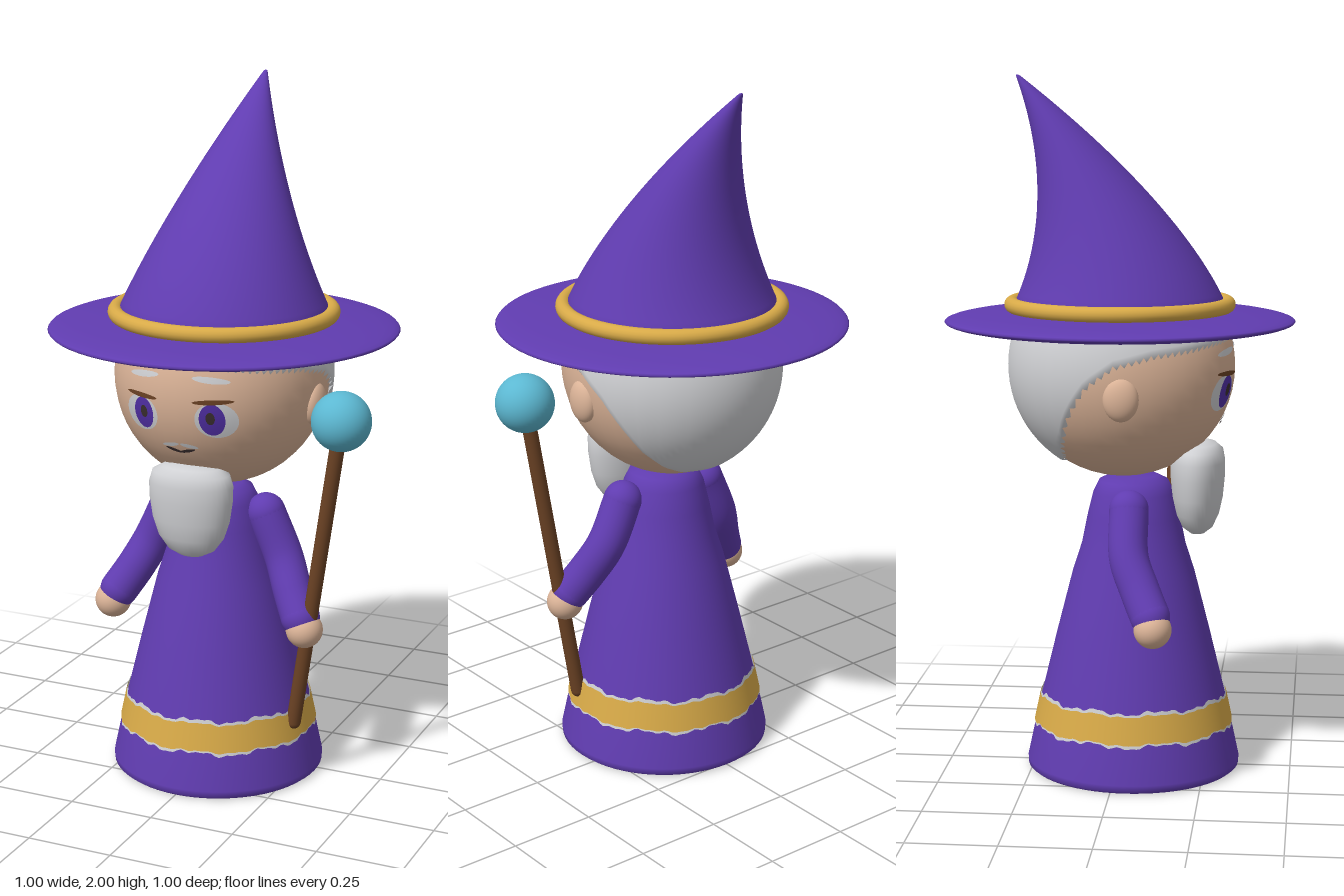
import * as THREE from 'three';
import { mergeVertices } from 'three/addons/utils/BufferGeometryUtils.js';

const material = (name, color) => {
  const m = new THREE.MeshStandardMaterial({ color });
  m.name = name;
  return m;
};
const purple = material('purple cloth', 0x603cb0);
const gold = material('gold trim', 0xd8aa48);
const skin = material('skin', 0xdcb498);
const grey = material('grey hair', 0xd0d1d4);
const wood = material('brown wood', 0x6b4224);
const blue = material('blue orb', 0x5cb8d2);
const iris = material('violet iris', 0x5230a8);
const dark = material('dark line', 0x3b2f30);
for (const m of [grey, gold]) m.side = THREE.DoubleSide;

const HEAD = { y: 1.18, z: 0.01, rx: 0.305, ry: 0.32, rz: 0.32 };
const ROBE_Z = 0.04;
const points = (list) => list.map(([x, y]) => new THREE.Vector2(x, y));

// Moves every vertex by a rule and rebuilds smooth, seamless normals
function reshape(geometry, rule) {
  const p = geometry.attributes.position, uv = geometry.attributes.uv, v = new THREE.Vector3();
  for (let i = 0; i < p.count; i++) {
    v.fromBufferAttribute(p, i);
    rule(v, uv.getX(i), uv.getY(i));
    p.setXYZ(i, v.x, v.y, v.z);
  }
  geometry.deleteAttribute('uv');
  geometry.deleteAttribute('normal');
  const merged = mergeVertices(geometry, 1e-5);
  merged.computeVertexNormals();
  return merged;
}

// Linear lookup in a short list of [input, output] pairs
function lookup(table, t) {
  for (let i = 1; i < table.length; i++) {
    const [a, va] = table[i - 1], [b, vb] = table[i];
    if (t <= b) return va + (vb - va) * (t - a) / (b - a);
  }
  return table[table.length - 1][1];
}

export function createModel() {
  const model = new THREE.Group();
  model.name = 'wizard';
  const add = (name, geometry, mat, x = 0, y = 0, z = 0) => {
    const mesh = new THREE.Mesh(geometry, mat);
    mesh.name = name;
    mesh.position.set(x, y, z);
    model.add(mesh);
    return mesh;
  };
  const ball = (name, mat, r, x, y, z, sx = 1, sy = 1, sz = 1) =>
    add(name, new THREE.SphereGeometry(r, 40, 28), mat, x, y, z).scale.set(sx, sy, sz);

  // Robe with a rounded hem and sloping neck
  const robe = [[0.298, 0], [0.308, 0.008], [0.309, 0.025], [0.278, 0.17], [0.222, 0.4],
    [0.176, 0.58], [0.15, 0.66], [0.134, 0.74], [0.117, 0.81], [0.1, 0.845], [0.07, 0.86], [0, 0.862]];
  add('robe', new THREE.LatheGeometry(points(robe), 64), purple, 0, 0, ROBE_Z);
  const base = add('robeBase', new THREE.CircleGeometry(0.298, 64), purple, 0, 0, ROBE_Z);
  base.rotation.x = Math.PI / 2;

  // Uneven hem bands: pale fringe behind the gold trim
  const hemRadius = (y) => 0.309 - (y - 0.025) * 0.214;
  const band = (name, mat, low, high, lift, wave) => {
    const g = new THREE.CylinderGeometry(1, 1, 1, 160, 1, true);
    add(name, reshape(g, (v, u, t) => {
      const a = u * Math.PI * 2;
      const ragged = wave * (Math.sin(a * 9) + 0.6 * Math.sin(a * 23 + 1) + 0.5 * Math.sin(a * 41));
      const y = (t > 0.5 ? high : low) + ragged;
      const r = hemRadius(y) + lift;
      v.set(v.x * r, y, v.z * r);
    }), mat, 0, 0, ROBE_Z);
  };
  band('hemFringe', grey, 0.131, 0.224, 0.002, 0.005);
  band('hemTrim', gold, 0.138, 0.216, 0.004, 0.003);

  // Sleeves and hands
  for (const side of [1, -1]) {
    const label = side > 0 ? 'left' : 'right';
    const path = new THREE.CatmullRomCurve3([
      new THREE.Vector3(side * 0.15, 0.785, 0.04), new THREE.Vector3(side * 0.208, 0.66, 0.045),
      new THREE.Vector3(side * 0.25, 0.575, 0.08), new THREE.Vector3(side * 0.288, 0.51, 0.112)]);
    add(label + 'Sleeve', new THREE.TubeGeometry(path, 24, 0.056, 24), purple);
    ball(label + 'Shoulder', purple, 0.056, side * 0.15, 0.785, 0.04);
    ball(label + 'Cuff', purple, 0.056, side * 0.288, 0.51, 0.112);
    ball(label + 'Hand', skin, 0.053, side * 0.304, 0.478, 0.12);
    ball(label + 'Ear', skin, 1, side * 0.293, 1.12, 0.03, 0.03, 0.062, 0.05);
  }

  // Staff and orb
  const foot = new THREE.Vector3(0.27, 0.185, 0.11), top = new THREE.Vector3(0.415, 1.11, 0.14);
  const along = top.clone().sub(foot);
  const middle = foot.clone().add(top).multiplyScalar(0.5);
  const staff = add('staff', new THREE.CapsuleGeometry(0.021, along.length(), 8, 20), wood, ...middle);
  staff.quaternion.setFromUnitVectors(new THREE.Vector3(0, 1, 0), along.normalize());
  ball('orb', blue, 0.084, top.x, top.y, top.z);

  // Head
  ball('head', skin, 1, 0, HEAD.y, HEAD.z, HEAD.rx, HEAD.ry, HEAD.rz);

  // Hair cap, its edge following a hairline height for each angle from the front
  const hairline = [[0, 1.265], [35, 1.25], [70, 1.23], [90, 1.2], [104, 1.14], [113, 1.07],
    [124, 0.98], [136, 0.925], [150, 0.9], [180, 0.895]];
  const hair = reshape(new THREE.SphereGeometry(1, 96, 32), (v, u, t) => {
    const a = (u * 2 - 0.5) * Math.PI;
    const turn = Math.abs(Math.atan2(Math.sin(a), Math.cos(a))) * 180 / Math.PI;
    const end = Math.acos((lookup(hairline, turn) - HEAD.y) / 0.326);
    const theta = (1 - t) * end, s = t < 0.001 ? 0.96 : 1;
    v.set(Math.sin(a) * Math.sin(theta) * 0.317 * s, Math.cos(theta) * 0.326 * s,
      Math.cos(a) * Math.sin(theta) * 0.33 * s);
  });
  add('hair', hair, grey, 0, HEAD.y, HEAD.z);

  // Thin oval plates laid on the curved face
  const plate = (name, mat, x, y, rx, ry, lift, tilt = 0) => {
    const g = new THREE.RingGeometry(0.001, 1, 32, 5);
    add(name, reshape(g, (v) => {
      const px = x + v.x * rx, py = y + v.y * ry + v.x * rx * tilt;
      const k = 1 - (px / HEAD.rx) ** 2 - ((py - HEAD.y) / HEAD.ry) ** 2;
      v.set(px, py, HEAD.z + HEAD.rz * Math.sqrt(Math.max(k, 0)) + lift);
    }), mat);
  };
  for (const side of [1, -1]) {
    const label = side > 0 ? 'left' : 'right';
    plate(label + 'EyeWhite', grey, side * 0.112, 1.118, 0.056, 0.052, 0.003);
    plate(label + 'Iris', iris, side * 0.103, 1.12, 0.034, 0.046, 0.005);
    plate(label + 'Pupil', dark, side * 0.1, 1.125, 0.012, 0.018, 0.007);
    plate(label + 'EyeLid', wood, side * 0.107, 1.172, 0.054, 0.007, 0.007, side * 0.04);
    plate(label + 'Brow', grey, side * 0.1, 1.232, 0.05, 0.009, 0.004, side * -0.1);
    plate(label + 'Moustache', grey, side * 0.028, 1.034, 0.026, 0.006, 0.003, side * -0.15);
    plate(label + 'Mouth', dark, side * 0.02, 1.018, 0.024, 0.005, 0.005, side * 0.25);
  }

  // Beard
  const beard = [[0, 0.69], [0.035, 0.694], [0.07, 0.712], [0.098, 0.75], [0.115, 0.8], [0.124, 0.86],
    [0.125, 0.905], [0.115, 0.938], [0.085, 0.955], [0.045, 0.962], [0, 0.964]];
  add('beard', new THREE.LatheGeometry(points(beard), 40), grey, 0, 0, 0.225).scale.z = 0.63;

  // Hat: lens-shaped brim, gold cord and a cone bending backwards
  const brim = [];
  for (let i = 0; i <= 24; i++) {
    const a = -Math.PI / 2 + i * Math.PI / 24;
    brim.push([Math.max(0, 0.5 * Math.cos(a)), 1.307 + 0.036 * Math.sin(a)]);
  }
  add('hatBrim', new THREE.LatheGeometry(points(brim), 64), purple);
  const cord = add('hatCord', new THREE.TorusGeometry(0.308, 0.022, 16, 64), gold, 0, 1.354, 0);
  cord.rotation.x = Math.PI / 2;

  const cone = [[0.302, 1.33]];
  for (let i = 0; i <= 30; i++) cone.push([0.297 * (1 - i / 30) + 0.008 * (i / 30), 1.365 + 0.627 * i / 30]);
  cone.push([0.005, 1.998], [0, 2]);
  add('hatCone', reshape(new THREE.LatheGeometry(points(cone), 64), (v) => {
    v.z -= 0.292 * Math.pow(Math.max(0, (v.y - 1.365) / 0.635), 1.8);
  }), purple);

  return model;
}
